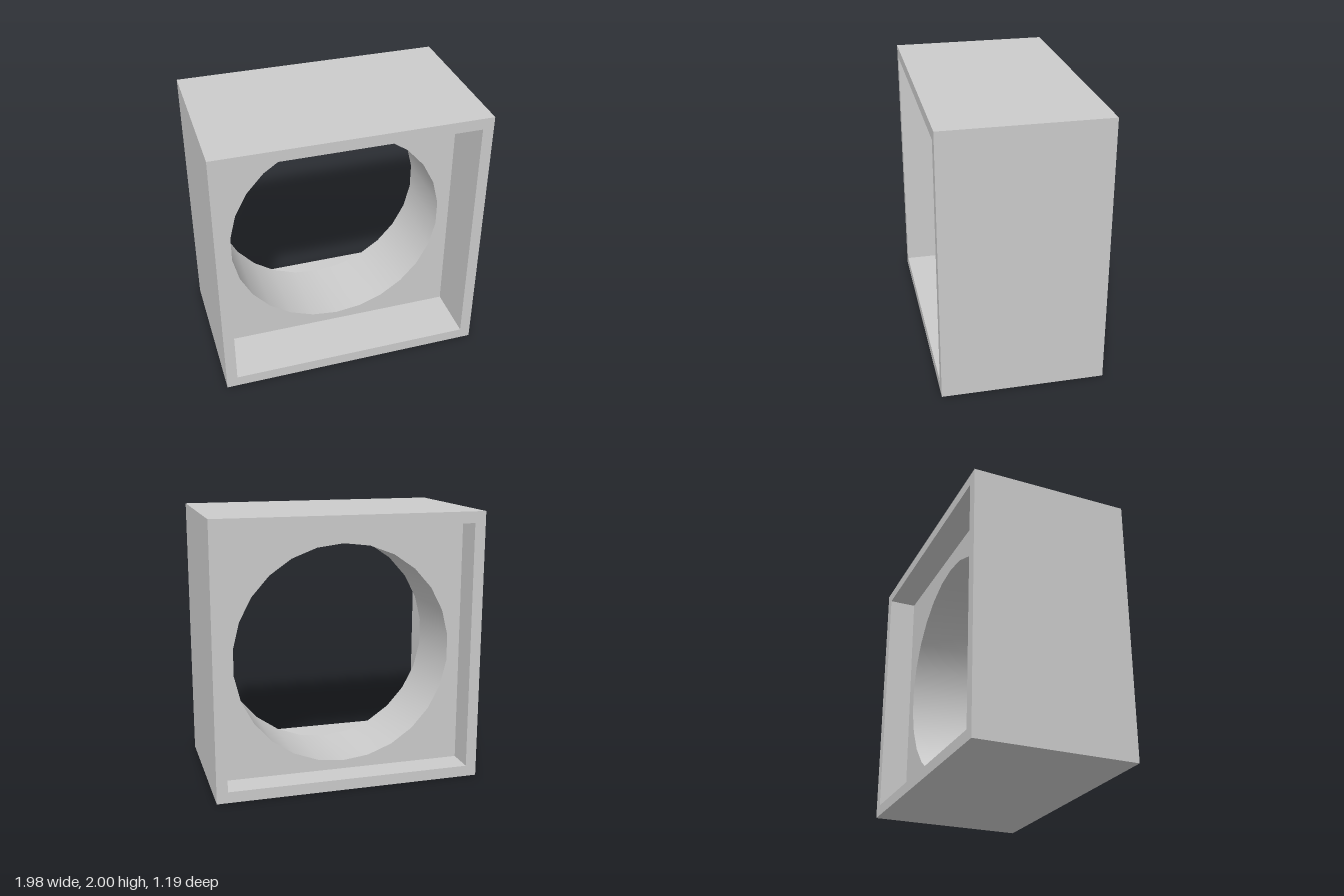
import * as THREE from 'three';
import { toCreasedNormals } from 'three/addons/utils/BufferGeometryUtils.js';

const HALF_DEPTH = 0.593;
const PLATE_BACK = -0.385;
const PLATE_FRONT = 0.173;

// Corners of a rectangle centred on x = 0
function rectangle(halfWidth, bottom, top) {
  return [[-halfWidth, bottom], [halfWidth, bottom], [halfWidth, top], [-halfWidth, top]]
    .map(([x, y]) => new THREE.Vector2(x, y));
}

// Regular polygon with a corner at the top
function polygon(centreY, radius, sides) {
  return Array.from({ length: sides }, (_, i) => {
    const a = (i / sides) * Math.PI * 2;
    return new THREE.Vector2(Math.sin(a) * radius, centreY + Math.cos(a) * radius);
  });
}

// Extrude an outline with one opening from z = back to z = front
function ring(name, outline, opening, back, front, material) {
  const shape = new THREE.Shape(outline);
  shape.holes.push(new THREE.Path(opening));
  const geometry = new THREE.ExtrudeGeometry(shape, { depth: front - back, bevelEnabled: false });
  geometry.translate(0, 0, back);
  const mesh = new THREE.Mesh(toCreasedNormals(geometry, 0.5), material);
  mesh.name = name;
  return mesh;
}

export function createModel() {
  const model = new THREE.Group();
  model.name = 'squareHousing';
  const material = new THREE.MeshStandardMaterial({ color: 0xcccccc });
  const recess = rectangle(0.908, 0.082, 1.917);

  // Outer square frame, open at front and back
  model.add(ring('outerFrame', rectangle(0.989, 0, 2), recess, -HALF_DEPTH, HALF_DEPTH, material));

  // Thick inner plate with the round opening, set deeper at the front than at the back
  model.add(ring('innerPlate', recess, polygon(0.963, 0.817, 26), PLATE_BACK, PLATE_FRONT, material));

  return model;
}
